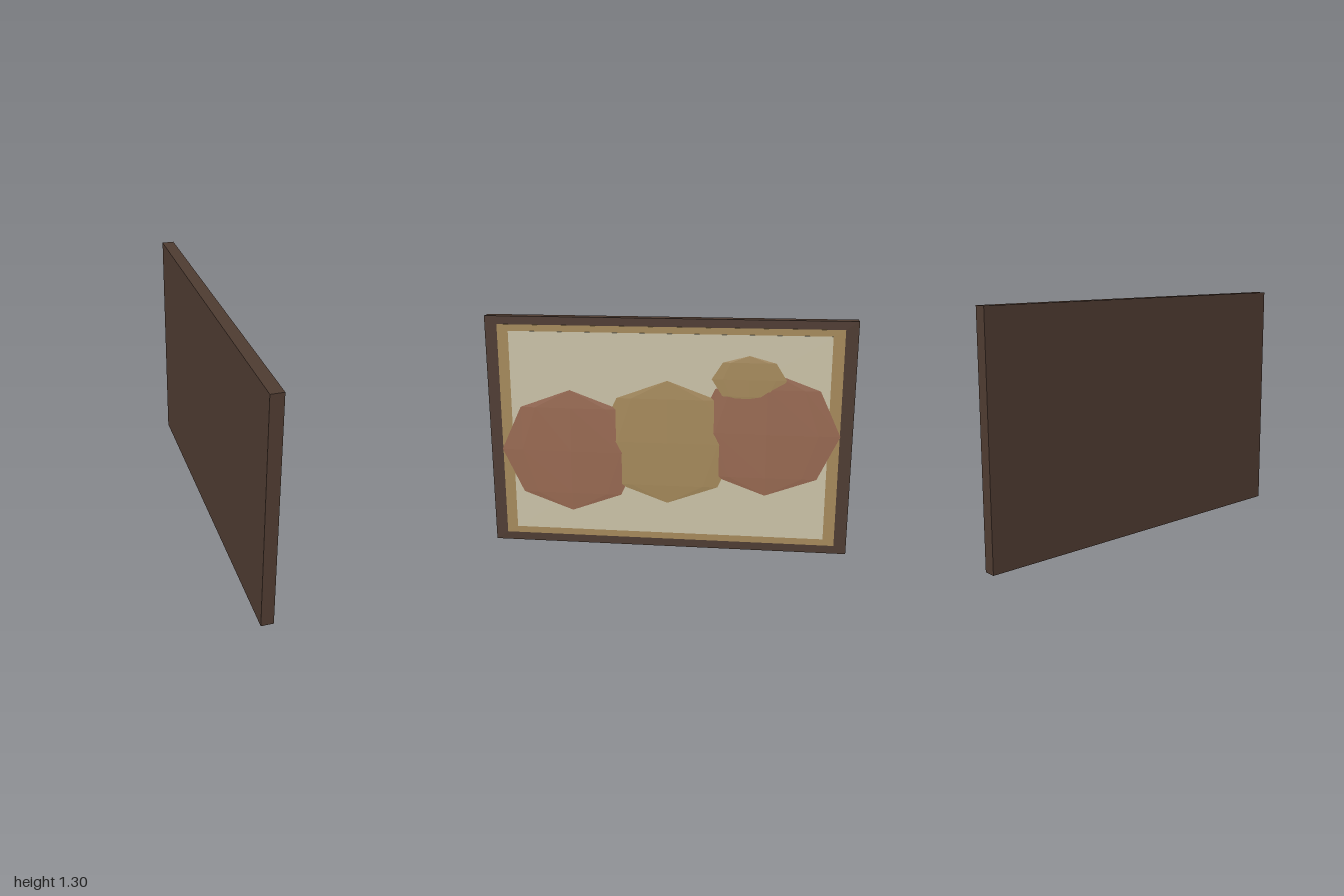
import * as THREE from 'three';

const material = (color) => new THREE.MeshStandardMaterial({ color, flatShading: true });

export function createModel() {
  const group = new THREE.Group();
  const wood = material(0x4e3b31);
  const gold = material(0xa68a5b);
  const cream = material(0xcbc3a8);
  const rust = material(0x996a52);

  // Flat layer facing +x, between two depths
  function layer(name, mat, x0, x1, y0, y1, halfZ) {
    const mesh = new THREE.Mesh(new THREE.BoxGeometry(x1 - x0, y1 - y0, 2 * halfZ), mat);
    mesh.position.set((x0 + x1) / 2, (y0 + y1) / 2, 0);
    mesh.name = name;
    group.add(mesh);
  }

  // Low-poly sphere squashed against the canvas
  function blob(name, mat, x, y, z, rx, ry, rz) {
    const geometry = new THREE.SphereGeometry(1, 8, 4).scale(rx, ry, rz);
    const mesh = new THREE.Mesh(geometry, mat);
    mesh.position.set(x, y, z);
    mesh.name = name;
    group.add(mesh);
  }

  // Frame, gilded border and canvas
  layer('frame', wood, -0.04, 0.028, 0, 1.3, 1);
  layer('border', gold, 0.02, 0.031, 0.047, 1.255, 0.932);
  layer('canvas', cream, 0.025, 0.034, 0.085, 1.22, 0.87);

  // Painted shapes, rising from left to right
  [rust, gold, rust].forEach((mat, i) => {
    blob(`paintedShape${i + 1}`, mat, 0.034, 0.55 + 0.065 * i, 0.54 * (1 - i), 0.006, 0.35, 0.395);
  });
  blob('smallPaintedShape', gold, 0.036, 0.98, -0.44, 0.004, 0.13, 0.2);

  return group;
}
